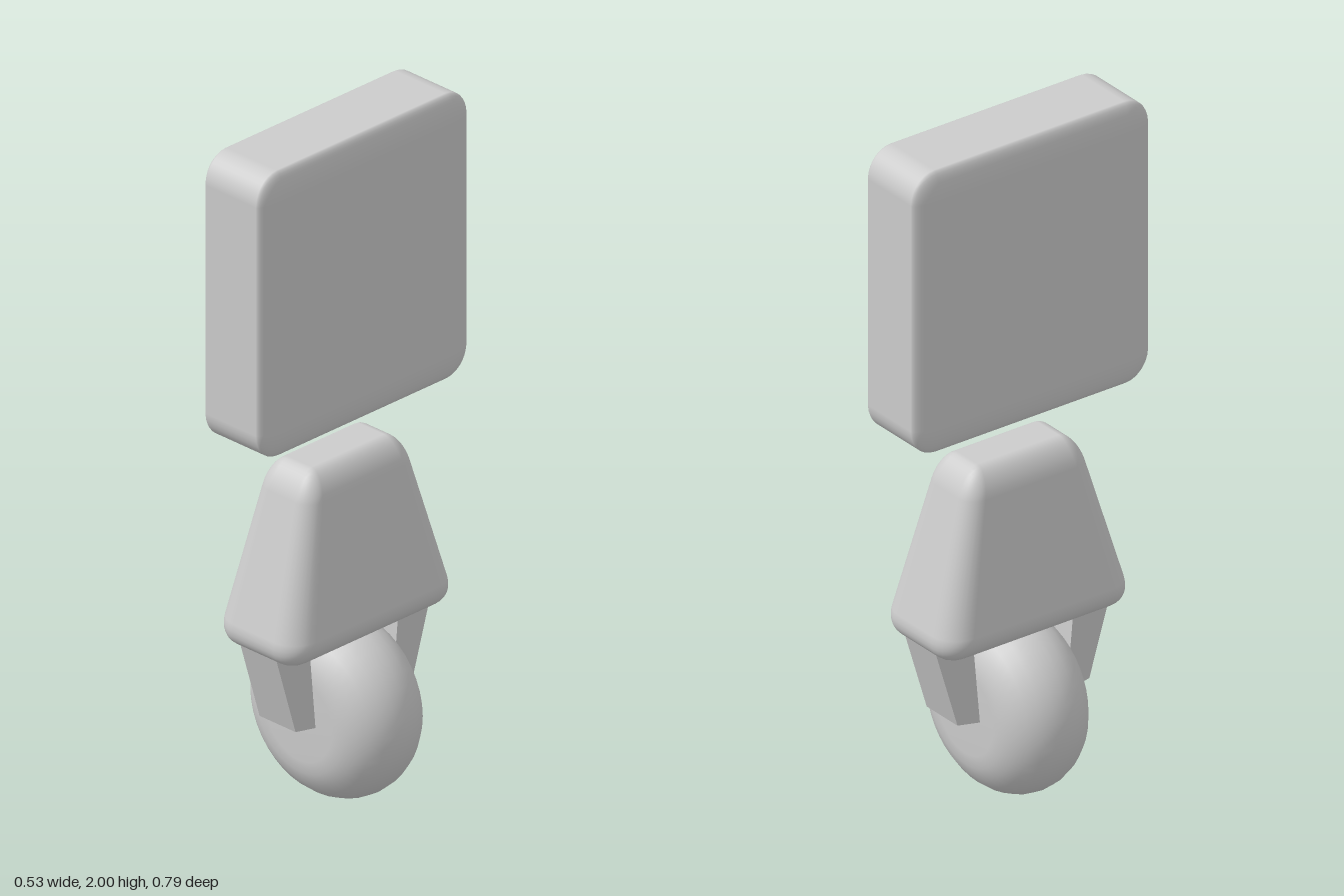
import * as THREE from 'three';
import { RoundedBoxGeometry } from 'three/addons/geometries/RoundedBoxGeometry.js';

const material = new THREE.MeshStandardMaterial({ color: 0xcccccc });

function addMesh(parent, name, geometry) {
  const mesh = new THREE.Mesh(geometry, material);
  mesh.name = name;
  parent.add(mesh);
  return mesh;
}

// Head: a thin slab whose rounding is squeezed along x
function headGeometry() {
  const g = new RoundedBoxGeometry(1, 1, 1, 4, 0.1);
  g.scale(0.232, 0.85, 0.79);
  return g;
}

// Body: rounded box narrowing towards the top
function bodyGeometry() {
  const g = new RoundedBoxGeometry(0.31, 0.53, 0.62, 4, 0.08);
  const p = g.attributes.position;
  const n = g.attributes.normal;
  const slope = 0.92;
  const normal = new THREE.Vector3();
  for (let i = 0; i < p.count; i++) {
    const x = p.getX(i), y = p.getY(i), z = p.getZ(i);
    const s = 1 - slope * (y + 0.185);
    // Normals follow the inverse transpose of the taper
    const nx = n.getX(i) / s, nz = n.getZ(i) / s;
    normal.set(nx, n.getY(i) + slope * (x * nx + z * nz), nz).normalize();
    p.setXYZ(i, x * s, y, z * s);
    n.setXYZ(i, normal.x, normal.y, normal.z);
  }
  return g;
}

// Wheel: flat sides with a fully round tread, axle along z
function wheelGeometry() {
  const R = 0.265, half = 0.142, round = 0.142;
  const points = [new THREE.Vector2(0, -half)];
  for (let i = 0; i <= 12; i++) {
    const a = -Math.PI / 2 + (Math.PI * i) / 12;
    points.push(new THREE.Vector2(R - round + round * Math.cos(a), half * Math.sin(a)));
  }
  points.push(new THREE.Vector2(0, half));
  return new THREE.LatheGeometry(points, 40).rotateX(Math.PI / 2);
}

// Fork arm: wedge in the y-z plane, extruded across x
function forkArmGeometry() {
  const profile = new THREE.Shape([
    new THREE.Vector2(0.17, 0.535),
    new THREE.Vector2(0.145, 0.265),
    new THREE.Vector2(0.22, 0.28),
    new THREE.Vector2(0.297, 0.535),
  ]);
  const g = new THREE.ExtrudeGeometry(profile, { depth: 0.135, bevelEnabled: false });
  return g.translate(0, 0, -0.0675).rotateY(-Math.PI / 2);
}

export function createModel() {
  const model = new THREE.Group();
  model.name = 'wheeledRobot';

  addMesh(model, 'head', headGeometry()).position.y = 1.575;
  addMesh(model, 'body', bodyGeometry()).position.set(0, 0.767, 0);
  addMesh(model, 'wheel', wheelGeometry()).position.set(0, 0.267, -0.002);

  // One fork arm in front of the wheel and one behind
  const arm = forkArmGeometry();
  addMesh(model, 'frontForkArm', arm);
  addMesh(model, 'backForkArm', arm).rotation.y = Math.PI;

  return model;
}
